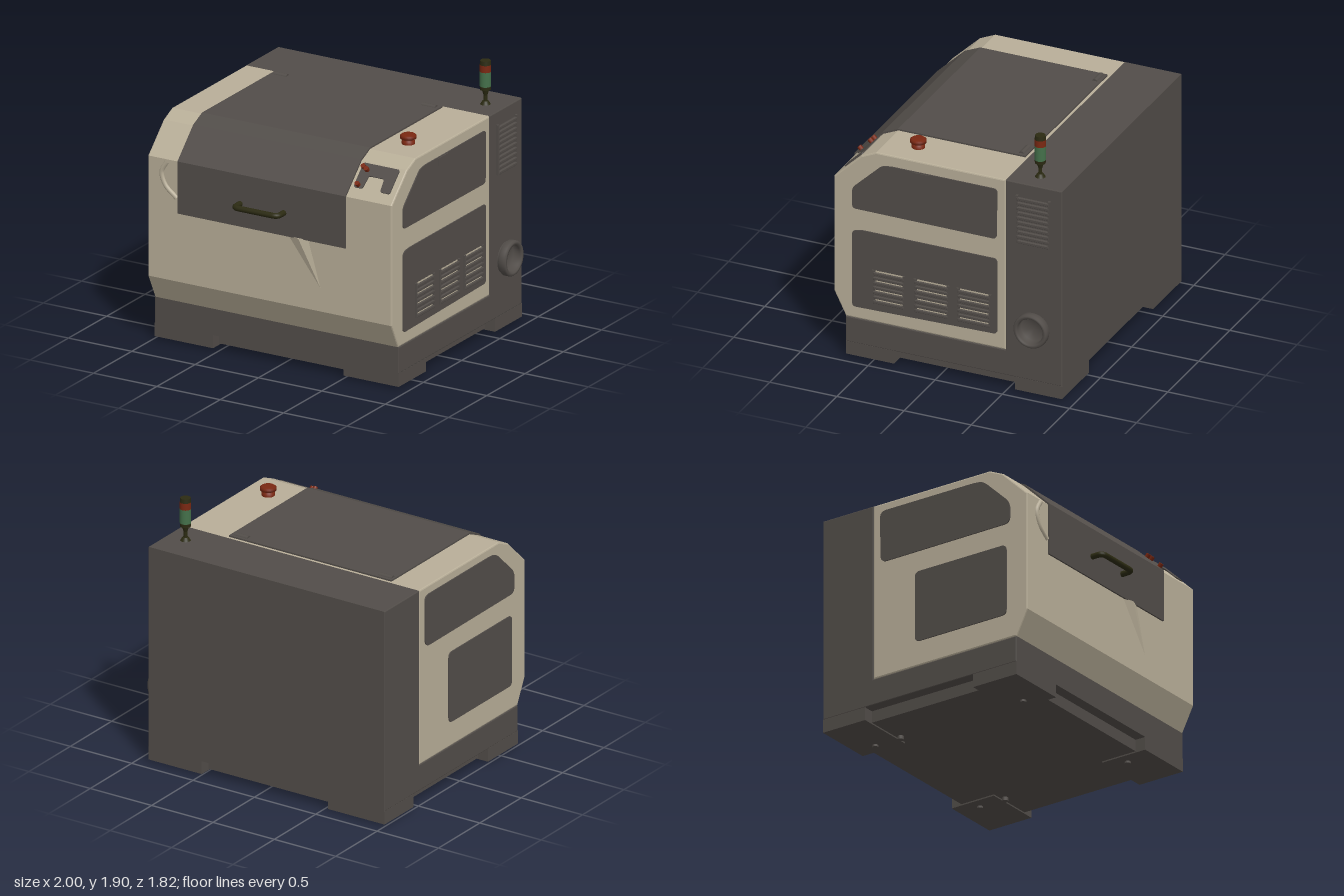
import * as THREE from 'three';
import { ConvexGeometry } from 'three/addons/geometries/ConvexGeometry.js';

const mat = (name, color, side = THREE.FrontSide) => {
  const m = new THREE.MeshStandardMaterial({ color, side });
  m.name = name;
  return m;
};

// Closed outline with softened corners
function outline(pts, r = 0) {
  const s = new THREE.Shape();
  const v = pts.map(p => new THREE.Vector2(p[0], p[1]));
  v.forEach((c, i) => {
    const a = v[(i + v.length - 1) % v.length], b = v[(i + 1) % v.length];
    const toward = q => c.clone().add(q.clone().sub(c).setLength(Math.min(r, c.distanceTo(q) * 0.45)));
    const p = r ? toward(a) : c, n = r ? toward(b) : c;
    if (i === 0) s.moveTo(p.x, p.y); else s.lineTo(p.x, p.y);
    if (r) s.quadraticCurveTo(c.x, c.y, n.x, n.y);
  });
  s.closePath();
  return s;
}

export function createModel() {
  const model = new THREE.Group();
  const cream = mat('cream', 0xb8ae98);
  const dark = mat('darkGrey', 0x524d49, THREE.DoubleSide);
  const red = mat('red', 0x7a2812);
  const green = mat('green', 0x44704a);
  const black = mat('oliveBlack', 0x2b2a12);

  const L = -1, R = 0.925, TOP = 1.59;

  const add = (geo, m, name, x = 0, y = 0, z = 0, parent = model) => {
    const mesh = new THREE.Mesh(geo, m);
    mesh.name = name;
    mesh.position.set(x, y, z);
    parent.add(mesh);
    return mesh;
  };
  const box = (x0, x1, y0, y1, z0, z1, m, name) =>
    add(new THREE.BoxGeometry(x1 - x0, y1 - y0, z1 - z0), m, name, (x0 + x1) / 2, (y0 + y1) / 2, (z0 + z1) / 2);
  // Side profile of [z, y] points swept from x0 to x1
  const slab = (pts, x0, x1, m, name, { r = 0, bevel = 0 } = {}) => {
    const geo = new THREE.ExtrudeGeometry(outline(pts.map(([z, y]) => [-z, y]), r), {
      depth: x1 - x0 - 2 * bevel, curveSegments: 6, bevelEnabled: bevel > 0,
      bevelThickness: bevel, bevelSize: bevel, bevelOffset: -bevel, bevelSegments: 2,
    });
    geo.translate(0, 0, bevel).rotateY(Math.PI / 2);
    return add(geo, m, name, x0);
  };
  const cyl = (rt, rb, y0, y1, m, name, x, z, n = 24) =>
    add(new THREE.CylinderGeometry(rt, rb, y1 - y0, n), m, name, x, (y0 + y1) / 2, z);

  // Main housing: cream front shell, dark rear block and plinth
  slab([[-0.49, 0.3], [0.7, 0.3], [0.79, 0.48], [0.79, 1.345], [0.587, 1.54], [0.475, TOP], [-0.49, TOP]],
    L, R, cream, 'frontShell', { bevel: 0.01 });
  slab([[-0.91, 0.11], [0.7, 0.11], [0.7, 0.3], [-0.49, 0.3], [-0.49, TOP], [-0.91, TOP]],
    L, R, dark, 'rearBlockAndPlinth', { bevel: 0.006 });

  // Underside: inset floor, four corner skirts and levelling feet
  box(L + 0.08, R - 0.08, 0.025, 0.11, -0.83, 0.62, dark, 'floor');
  for (const [x0, x1] of [[L, -0.54], [0.49, R]])
    for (const [z0, z1] of [[-0.91, -0.56], [0.34, 0.7]])
      box(x0, x1, 0.015, 0.112, z0, z1, dark, 'cornerSkirt');
  for (const x of [-0.63, 0.58])
    for (const z of [0.49, -0.53, -0.74]) cyl(0.022, 0.022, 0, 0.03, dark, 'foot', x, z, 12);

  // Lid wrapped over the top, the slope and the upper front
  const o = 0.011;
  slab([[-0.47, TOP - 0.005], [-0.47, TOP + o], [0.478, TOP + o], [0.593, 1.54 + o], [0.79 + o, 1.35],
    [0.79 + o, 0.975], [0.785, 0.975], [0.785, 1.34], [0.583, 1.535], [0.473, TOP - 0.005]],
    -0.76, 0.565, dark, 'lid');
  for (const x of [-0.69, 0.485]) {
    add(new THREE.CylinderGeometry(0.02, 0.02, 0.11, 16), dark, 'hinge', x, TOP + 0.005, -0.43).rotation.z = Math.PI / 2;
  }

  // Lid handle
  const grip = new THREE.CurvePath();
  const P = (x, z) => new THREE.Vector3(x, 1.14, z);
  grip.add(new THREE.LineCurve3(P(-0.265, 0.79), P(-0.265, 0.85)));
  grip.add(new THREE.QuadraticBezierCurve3(P(-0.265, 0.85), P(-0.265, 0.887), P(-0.225, 0.887)));
  grip.add(new THREE.LineCurve3(P(-0.225, 0.887), P(0.04, 0.887)));
  grip.add(new THREE.QuadraticBezierCurve3(P(0.04, 0.887), P(0.08, 0.887), P(0.08, 0.85)));
  grip.add(new THREE.LineCurve3(P(0.08, 0.85), P(0.08, 0.79)));
  add(new THREE.TubeGeometry(grip, 60, 0.02, 12), black, 'lidHandle');

  // Curved side grip and pressed crease on the front
  const sideGrip = new THREE.CatmullRomCurve3([[-0.85, 1.33], [-0.89, 1.25], [-0.86, 1.16], [-0.77, 1.08]]
    .map(([x, y]) => new THREE.Vector3(x, y, 0.788)));
  add(new THREE.TubeGeometry(sideGrip, 24, 0.018, 8), cream, 'sideGrip');
  add(new ConvexGeometry([[0.09, 0.98, 0.785], [0.28, 0.98, 0.785], [0.4, 0.57, 0.785], [0.2, 0.98, 0.812]]
    .map(p => new THREE.Vector3(...p))), cream, 'frontCrease');

  // Control panel lying on the slope
  const panel = new THREE.Group();
  panel.name = 'controlPanel';
  panel.position.set(0, 1.345, 0.79);
  panel.rotation.x = -0.805;
  model.add(panel);
  const face = outline([[0.59, 0.08], [0.66, 0.08], [0.67, 0.18], [0.79, 0.18], [0.8, 0.08], [0.875, 0.08],
    [0.875, 0.27], [0.59, 0.27]], 0.015);
  add(new THREE.ExtrudeGeometry(face, { depth: 0.008, bevelEnabled: false }), dark, 'panelFace', 0, 0, 0, panel);
  for (const [x, y] of [[0.61, 0.235], [0.64, 0.22], [0.62, 0.1]]) {
    add(new THREE.CylinderGeometry(0.017, 0.017, 0.035, 12), red, 'panelButton', x, y, 0.018, panel).rotation.x = Math.PI / 2;
  }

  // Emergency stop knob
  add(new THREE.LatheGeometry([[0.045, 0], [0.045, 0.02], [0.034, 0.025], [0.034, 0.035], [0.056, 0.04],
    [0.056, 0.06], [0.045, 0.068], [0, 0.068]].map(p => new THREE.Vector2(...p)), 24), red, 'stopKnob', 0.73, TOP, 0.25);

  // Signal tower
  const sx = 0.777, sz = -0.68;
  cyl(0.02, 0.036, TOP, 1.615, black, 'towerBase', sx, sz);
  cyl(0.013, 0.013, 1.61, 1.66, black, 'towerStem', sx, sz);
  cyl(0.026, 0.013, 1.655, 1.695, black, 'towerNeck', sx, sz);
  cyl(0.039, 0.037, 1.695, 1.72, black, 'towerCollar', sx, sz);
  cyl(0.039, 0.039, 1.72, 1.825, green, 'greenLamp', sx, sz);
  cyl(0.039, 0.039, 1.825, 1.875, red, 'redLamp', sx, sz);
  cyl(0.036, 0.039, 1.875, 1.905, black, 'towerCap', sx, sz);

  // Inset panels on both sides
  const upper = [[0.65, 1.135], [0.65, 1.29], [0.43, 1.5], [0.36, 1.51], [-0.43, 1.51], [-0.425, 1.13]];
  slab(upper, R, R + 0.008, dark, 'upperPanelRight', { r: 0.03 });
  slab(upper.map(([z, y]) => [z, y + 0.02]), L - 0.008, L, dark, 'upperPanelLeft', { r: 0.05 });
  slab([[0.65, 0.39], [0.65, 0.965], [0.58, 0.98], [-0.43, 0.98], [-0.43, 0.41]], R, R + 0.008, dark, 'lowerPanelRight', { r: 0.03 });
  slab([[0.62, 0.48], [0.62, 1], [-0.14, 1], [-0.14, 0.48]], L - 0.008, L, dark, 'lowerPanelLeft', { r: 0.04 });
  box(R, R + 0.014, 1.45, 1.505, 0.07, 0.2, dark, 'panelLatch');

  // Louvred vents: slats in a thin frame
  const vent = (z0, z1, y0, y1, n, slits) => {
    const p = (y1 - y0) / n;
    for (const z of [z0, z1]) box(R, R + 0.018, y0, y1, z - 0.008, z + 0.008, dark, 'ventFrame');
    for (let i = 0; i < n; i++) {
      const y = y0 + p * i;
      slab([[z0, y], [z1, y], [z1, y + p * 0.6], [z0, y + p * 0.6]], R, R + 0.02, dark, 'ventSlat', { bevel: 0.004 });
      if (slits && i % 2 === 0) box(R, R + 0.0095, y + p * 0.64, y + p * 0.94, z0 + 0.015, z1 - 0.015, cream, 'ventSlit');
    }
  };
  vent(0.26, 0.49, 0.45, 0.7, 7, true);
  vent(-0.07, 0.18, 0.45, 0.7, 7, true);
  vent(-0.38, -0.14, 0.45, 0.7, 7, true);
  vent(-0.82, -0.58, 1.14, 1.5, 10, false);

  // Exhaust collar
  add(new THREE.LatheGeometry([[0.112, 0], [0.112, 0.015], [0.125, 0.02], [0.125, 0.058], [0.117, 0.07],
    [0.1, 0.07], [0.092, 0.055], [0.092, 0.004], [0, 0.004]].map(p => new THREE.Vector2(...p)), 36),
    dark, 'exhaustCollar', R, 0.51, -0.7).rotation.z = -Math.PI / 2;

  return model;
}
